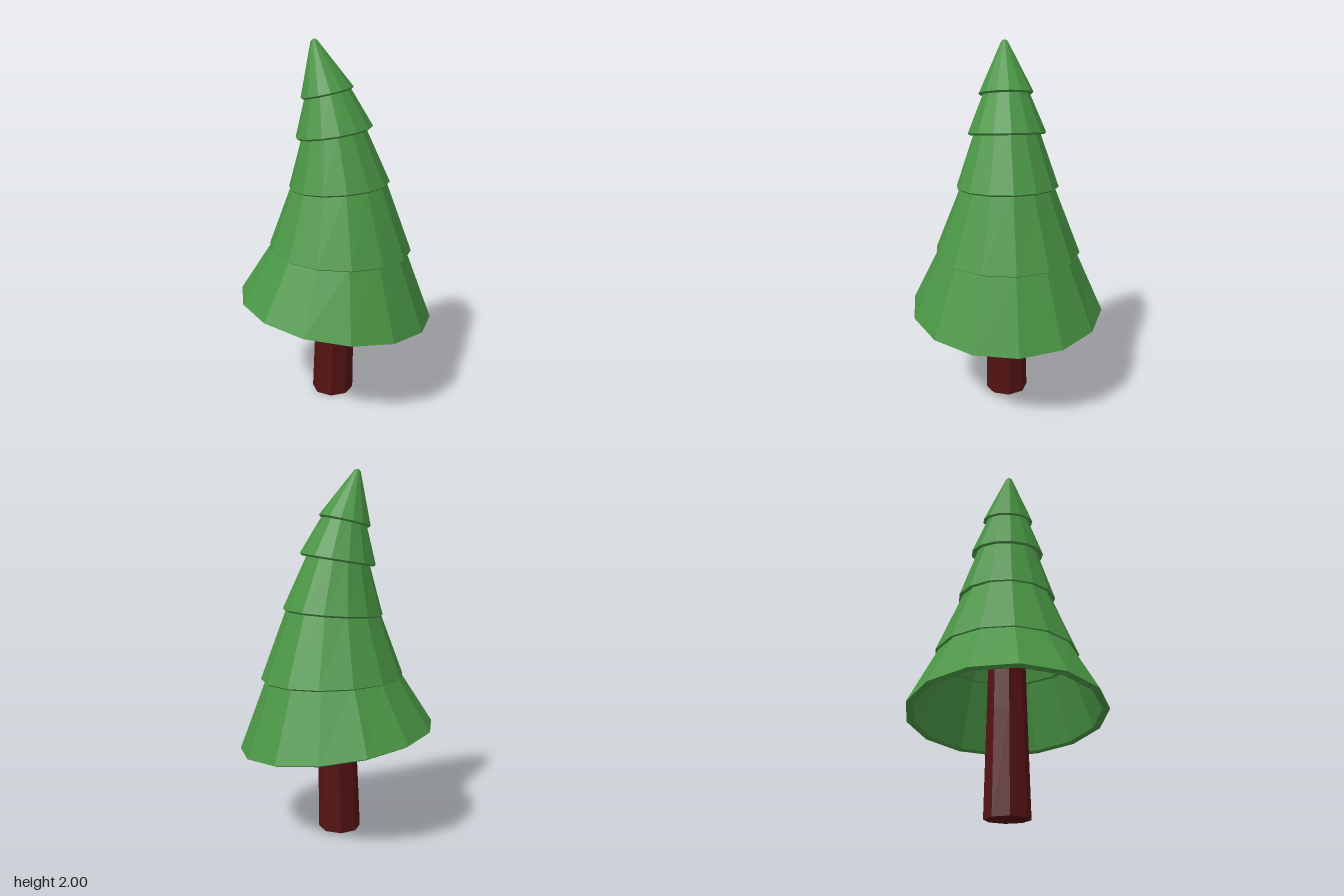
import * as THREE from 'three';

const GREEN = new THREE.MeshStandardMaterial({ color: 0x4a9645, flatShading: true });
const BROWN = new THREE.MeshStandardMaterial({ color: 0x551313, flatShading: true });

// A leaning ring: its left-hand and right-hand ends in the xy plane and its depth radius.
const ring = (x0, y0, x1, y1, r) => ({ x0, y0, x1, y1, r });

// The same ring pulled inwards and moved up or down.
function inset(g, d, dy) {
  const slope = (g.y1 - g.y0) / (g.x1 - g.x0);
  return ring(g.x0 + d, g.y0 + d * slope + dy, g.x1 - d, g.y1 - d * slope + dy, g.r - d);
}

// Skin a series of rings with quads.
function loft(rings, sides) {
  const pos = [], idx = [];
  for (const g of rings) {
    for (let i = 0; i < sides; i++) {
      const a = (i / sides) * Math.PI * 2, t = (1 + Math.cos(a)) / 2;
      pos.push(g.x0 + (g.x1 - g.x0) * t, g.y0 + (g.y1 - g.y0) * t, -g.r * Math.sin(a));
    }
  }
  for (let k = 0; k < rings.length - 1; k++) {
    for (let i = 0; i < sides; i++) {
      const j = (i + 1) % sides, b = k * sides, t = b + sides;
      idx.push(b + i, b + j, t + j, b + i, t + j, t + i);
    }
  }
  const geo = new THREE.BufferGeometry();
  geo.setAttribute('position', new THREE.Float32BufferAttribute(pos, 3));
  geo.setIndex(idx);
  geo.computeVertexNormals();
  return geo;
}

export function createModel() {
  const model = new THREE.Group();
  model.name = 'leaningPineTree';

  // Trunk: eight-sided, tapering and leaning slightly, closed at both ends
  const trunk = new THREE.Mesh(loft([
    ring(-0.017, 0, -0.017, 0, 0),
    ring(-0.135, 0, 0.1, 0, 0.12),
    ring(-0.11, 0.55, 0.105, 0.55, 0.108),
    ring(-0.1, 0.85, 0.105, 0.85, 0.102),
    ring(0, 0.85, 0, 0.85, 0),
  ], 8), BROWN);
  trunk.name = 'trunk';
  model.add(trunk);

  // Foliage tiers: rim, top ring and rim thickness, from the bottom up
  const tiers = [
    [ring(-0.54, 0.615, 0.54, 0.47, 0.54), ring(-0.355, 0.9, 0.39, 0.87, 0.378), 0.04],
    [ring(-0.37, 0.89, 0.42, 0.865, 0.4), ring(-0.24, 1.235, 0.272, 1.265, 0.25), 0.035],
    [ring(-0.255, 1.22, 0.295, 1.255, 0.278), ring(-0.178, 1.505, 0.155, 1.56, 0.175), 0.03],
    [ring(-0.215, 1.49, 0.2, 1.555, 0.211), ring(-0.162, 1.71, 0.072, 1.765, 0.12), 0.025],
    [ring(-0.185, 1.7, 0.095, 1.76, 0.147), ring(-0.13, 1.985, -0.09, 1.988, 0.02), 0.02],
  ];
  const foliage = new THREE.Group();
  foliage.name = 'foliage';
  tiers.forEach(([rim, top, thick], i) => {
    // Hollow inside, bevelled rim, outer skirt
    const rings = [top, inset(rim, thick, 0), inset(rim, thick * 0.5, -0.01), rim, top];
    // Rounded tip on the last tier
    if (i === tiers.length - 1) {
      rings.push(ring(-0.121, 1.997, -0.099, 1.998, 0.011), ring(-0.11, 2, -0.11, 2, 0));
    }
    const tier = new THREE.Mesh(loft(rings, 14), GREEN);
    tier.name = `foliageTier${i + 1}`;
    foliage.add(tier);
  });
  model.add(foliage);
  return model;
}
